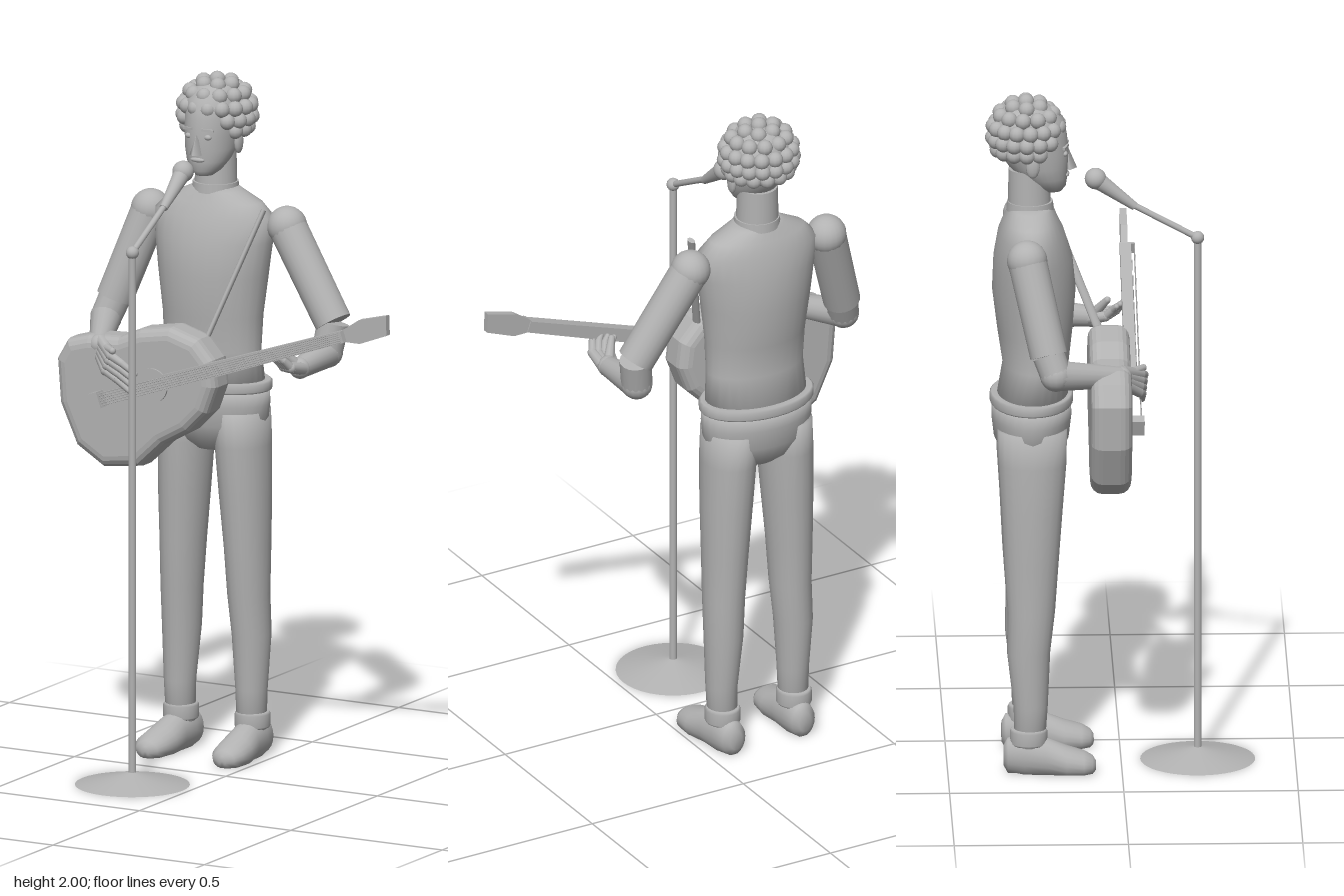
import * as THREE from 'three';

const grey = new THREE.MeshStandardMaterial({ color: 0xb2b2b2 });
grey.name = 'plain grey';
const V = (a) => new THREE.Vector3(...a);
const CX = -0.183; // middle of the figure

function add(parent, name, geo) {
  const m = new THREE.Mesh(geo, grey);
  m.name = name;
  parent.add(m);
  return m;
}

// Closed surface through elliptical rings [x, y, z, rx, rz], listed upwards
function loft(rings, n = 28) {
  const pos = [], idx = [];
  for (const [x, y, z, rx, rz] of rings)
    for (let j = 0; j < n; j++) {
      const a = (j / n) * Math.PI * 2;
      pos.push(x + rx * Math.cos(a), y, z + rz * Math.sin(a));
    }
  const last = rings.length - 1;
  pos.push(...rings[0].slice(0, 3), ...rings[last].slice(0, 3));
  const c0 = (last + 1) * n;
  for (let j = 0; j < n; j++) {
    const k = (j + 1) % n;
    for (let i = 0; i < last; i++) {
      const a = i * n + j, b = i * n + k;
      idx.push(a, a + n, b, b, a + n, b + n);
    }
    idx.push(c0, j, k, c0 + 1, last * n + k, last * n + j);
  }
  const g = new THREE.BufferGeometry();
  g.setAttribute('position', new THREE.Float32BufferAttribute(pos, 3));
  g.setIndex(idx);
  g.computeVertexNormals();
  return g;
}

// Tapered rod between two points
function rod(parent, name, a, b, ra, rb = ra, n = 16) {
  const p = V(a), d = V(b).sub(p);
  const m = add(parent, name, new THREE.CylinderGeometry(rb, ra, d.length(), n));
  m.position.copy(p).addScaledVector(d, 0.5);
  m.quaternion.setFromUnitVectors(new THREE.Vector3(0, 1, 0), d.clone().normalize());
  return m;
}

function ball(parent, name, p, r, n = 16) {
  const m = add(parent, name, new THREE.SphereGeometry(1, n, Math.max(8, n * 0.7 | 0)));
  m.position.set(...p);
  Array.isArray(r) ? m.scale.set(...r) : m.scale.setScalar(r);
  return m;
}

function box(parent, name, p, s) {
  const m = add(parent, name, new THREE.BoxGeometry(...s));
  m.position.set(...p);
  return m;
}

function buildBody(g) {
  add(g, 'torso', loft([
    [CX, 1.07, -0.257, 0.16, 0.105], [CX, 1.2, -0.245, 0.152, 0.095],
    [CX, 1.3, -0.247, 0.155, 0.108], [CX, 1.42, -0.25, 0.17, 0.12],
    [CX, 1.52, -0.253, 0.185, 0.113], [CX, 1.59, -0.258, 0.19, 0.095],
    [CX, 1.63, -0.26, 0.15, 0.078], [CX, 1.66, -0.26, 0.085, 0.064], [CX, 1.67, -0.26, 0.066, 0.06]]));
  add(g, 'hips', loft([
    [CX, 0.9, -0.257, 0.06, 0.05], [CX, 0.93, -0.257, 0.125, 0.085], [CX, 0.98, -0.257, 0.166, 0.108],
    [CX, 1.04, -0.257, 0.172, 0.115], [CX, 1.085, -0.257, 0.17, 0.113]]));
  add(g, 'belt', loft([
    [CX, 1.08, -0.257, 0.174, 0.117], [CX, 1.085, -0.257, 0.178, 0.12],
    [CX, 1.105, -0.257, 0.178, 0.12], [CX, 1.11, -0.257, 0.172, 0.115]]));
  rod(g, 'neck', [CX, 1.65, -0.262], [CX, 1.78, -0.265], 0.062, 0.058, 24);
  rod(g, 'collar', [CX, 1.655, -0.261], [CX, 1.682, -0.261], 0.068, 0.066, 24);

  // Legs and shoes, mirrored about the middle
  for (const s of [-1, 1]) {
    const x = (d) => CX + s * d;
    add(g, 'leg', loft([
      [x(0.117), 0.08, -0.265, 0.042, 0.044], [x(0.118), 0.2, -0.262, 0.046, 0.049],
      [x(0.115), 0.36, -0.268, 0.056, 0.062], [x(0.11), 0.48, -0.26, 0.06, 0.068],
      [x(0.106), 0.62, -0.26, 0.065, 0.078], [x(0.1), 0.78, -0.258, 0.073, 0.088],
      [x(0.094), 0.92, -0.257, 0.077, 0.098], [x(0.09), 1.02, -0.257, 0.076, 0.1]], 20));
    add(g, 'cuff', loft([
      [x(0.118), 0.085, -0.268, 0.048, 0.05], [x(0.118), 0.09, -0.268, 0.051, 0.054],
      [x(0.118), 0.125, -0.268, 0.051, 0.054], [x(0.118), 0.132, -0.268, 0.046, 0.05]], 20));
    // Shoe rings run from heel to toe, then the sole is pressed flat
    const shoe = loft([
      [x(0.114), -0.34, -0.05, 0.02, 0.03], [x(0.115), -0.328, -0.05, 0.038, 0.052],
      [x(0.117), -0.28, -0.05, 0.046, 0.064], [x(0.12), -0.22, -0.045, 0.049, 0.06],
      [x(0.124), -0.16, -0.032, 0.056, 0.048], [x(0.127), -0.11, -0.027, 0.052, 0.038],
      [x(0.127), -0.085, -0.024, 0.036, 0.027], [x(0.127), -0.075, -0.022, 0.012, 0.014]], 20);
    shoe.rotateX(Math.PI / 2);
    const p = shoe.attributes.position;
    for (let i = 0; i < p.count; i++) p.setY(i, Math.max(0, p.getY(i)));
    shoe.computeVertexNormals();
    add(g, 'shoe', shoe);
  }
}

function buildHead(g) {
  add(g, 'head', loft([
    [CX, 1.712, -0.2, 0.025, 0.03], [CX, 1.728, -0.208, 0.045, 0.05], [CX, 1.755, -0.222, 0.062, 0.068],
    [CX, 1.79, -0.238, 0.073, 0.086], [CX, 1.83, -0.25, 0.077, 0.1], [CX, 1.88, -0.26, 0.083, 0.105],
    [CX, 1.93, -0.265, 0.08, 0.1], [CX, 1.965, -0.268, 0.055, 0.065], [CX, 1.975, -0.27, 0.02, 0.02]]));
  for (const s of [-1, 1]) {
    ball(g, 'ear', [CX + s * 0.08, 1.805, -0.255], [0.011, 0.034, 0.02], 12);
    ball(g, 'eye', [CX + s * 0.031, 1.83, -0.161], [0.012, 0.008, 0.008], 12);
    const brow = box(g, 'eyebrow', [CX + s * 0.032, 1.851, -0.159], [0.036, 0.007, 0.008]);
    brow.rotation.set(0, s * 0.35, -s * 0.1);
  }
  const nose = add(g, 'nose', new THREE.ConeGeometry(0.02, 0.07, 4));
  nose.position.set(CX, 1.812, -0.15);
  nose.rotation.x = -0.12;
  ball(g, 'mouth', [CX, 1.762, -0.156], [0.024, 0.007, 0.008], 12);

  // Curls sit in rings over the skull, leaving the face free
  ball(g, 'hairCap', [CX, 1.885, -0.28], [0.097, 0.093, 0.092], 24);
  [[0, 1], [27, 6], [52, 11], [76, 15], [98, 16], [119, 14]].forEach(([deg, n], row) => {
    for (let i = 0; i < n; i++) {
      const t = deg * Math.PI / 180, a = ((i + (row % 2) / 2) / n) * Math.PI * 2;
      const front = Math.sin(t) * Math.cos(a);
      if ((row === 4 && front > 0.75) || (row === 5 && front > 0.4)) continue;
      ball(g, 'curl', [CX + 0.1 * Math.sin(t) * Math.sin(a), 1.885 + 0.092 * Math.cos(t),
        -0.272 + 0.096 * front], 0.0235, 12);
    }
  });
}

// Arm: shoulder, sleeve end, elbow, wrist, knuckles, finger tips, spread of the fingers
function buildArm(parent, name, sh, sl, el, wr, kn, tip, spread, thumb) {
  const g = new THREE.Group();
  g.name = name;
  parent.add(g);
  ball(g, 'shoulder', sh, 0.058, 20);
  rod(g, 'sleeve', sh, sl, 0.056, 0.054, 20);
  rod(g, 'elbowLink', sl, el, 0.047, 0.045);
  ball(g, 'elbow', el, 0.046);
  rod(g, 'forearm', el, wr, 0.045, 0.03);
  ball(g, 'wrist', wr, 0.031);
  const sp = V(spread);
  for (let i = 0; i < 4; i++) {
    const k = V(kn).addScaledVector(sp, i - 1.5), e = V(tip).addScaledVector(sp, (i - 1.5) * 1.1);
    const mid = k.clone().lerp(e, 0.5).add(new THREE.Vector3(0, 0.006, 0.006));
    rod(g, 'palm', V(wr).addScaledVector(sp, (i - 1.5) * 0.6).toArray(), k.toArray(), 0.019, 0.015, 10);
    ball(g, 'knuckle', k.toArray(), 0.015, 10);
    rod(g, 'finger', k.toArray(), mid.toArray(), 0.013, 0.011, 10);
    ball(g, 'fingerJoint', mid.toArray(), 0.011, 10);
    rod(g, 'finger', mid.toArray(), e.toArray(), 0.011, 0.008, 10);
    ball(g, 'fingerTip', e.toArray(), 0.008, 10);
  }
  rod(g, 'thumb', wr, thumb, 0.018, 0.01, 10);
  ball(g, 'thumbTip', thumb, 0.01, 10);
}

function buildGuitar(g) {
  const outline = [[-0.555, 1.17], [-0.52, 1.23], [-0.45, 1.25], [-0.35, 1.255], [-0.28, 1.285],
    [-0.18, 1.302], [-0.09, 1.275], [-0.04, 1.22], [-0.03, 1.14], [-0.06, 1.06], [-0.12, 1.0],
    [-0.2, 0.955], [-0.28, 0.88], [-0.4, 0.865], [-0.49, 0.92], [-0.545, 1.04]];
  const shape = new THREE.Shape(outline.map(([x, y]) => new THREE.Vector2(x, y)));
  const body = new THREE.ExtrudeGeometry(shape, {
    depth: 0.05, bevelThickness: 0.034, bevelSize: 0.035, bevelOffset: -0.035, bevelSegments: 4 });
  add(g, 'guitarBody', body).position.z = -0.06;

  // Neck parts lie along x from the bridge
  const n = new THREE.Group();
  n.name = 'guitarNeck';
  n.position.set(-0.4, 1.07, 0);
  n.rotation.z = 0.333;
  g.add(n);
  const plate = (name, pts, depth, z) => {
    const s = new THREE.Shape(pts.map(([x, y]) => new THREE.Vector2(x, y)));
    add(n, name, new THREE.ExtrudeGeometry(s, { depth, bevelEnabled: false })).position.z = z;
  };
  plate('neck', [[0.23, -0.023], [0.86, -0.017], [0.86, 0.017], [0.23, 0.023]], 0.032, 0.012);
  plate('headstock', [[0.855, -0.017], [0.9, -0.033], [0.995, -0.03], [1.012, 0.026],
    [0.92, 0.034], [0.855, 0.017]], 0.02, 0.015);
  const hole = add(n, 'soundHole', new THREE.CylinderGeometry(0.05, 0.05, 0.008, 28));
  hole.rotation.x = Math.PI / 2;
  hole.position.set(0.182, 0, 0.026);
  box(n, 'bridge', [0, 0, 0.042], [0.03, 0.048, 0.04]);
  box(n, 'nut', [0.857, 0, 0.047], [0.008, 0.034, 0.016]);
  for (let i = 0; i < 12; i++) box(n, 'fret', [0.855 - 0.6 * (1 - 0.9 ** (i + 1)) / 0.72, 0, 0.045], [0.004, 0.036, 0.004]);
  for (let i = 0; i < 6; i++) {
    const y = (i - 2.5) * 0.0055;
    rod(n, 'string', [0, y * 1.3, 0.054], [0.86, y, 0.054], 0.0012, 0.0012, 6);
  }
  const strap = rod(g, 'strap', [0.005, 1.625, -0.21], [-0.1, 1.26, -0.06], 0.013, 0.013, 12);
  strap.scale.z = 0.6;
}

function buildMicrophone(g) {
  const base = add(g, 'standBase', new THREE.CylinderGeometry(0.012, 0.165, 0.036, 40));
  base.position.set(CX, 0.018, 0.22);
  rod(g, 'standPole', [CX, 0.02, 0.22], [CX, 1.565, 0.22], 0.011);
  ball(g, 'standJoint', [CX, 1.565, 0.22], 0.019);
  rod(g, 'boom', [CX, 1.565, 0.22], [CX, 1.665, 0.035], 0.009);
  rod(g, 'microphoneHandle', [CX, 1.66, 0.04], [CX, 1.733, -0.058], 0.012, 0.024, 20);
  ball(g, 'microphoneHead', [CX, 1.745, -0.073], 0.031, 24);
}

export function createModel() {
  const root = new THREE.Group();
  root.name = 'singerWithGuitar';
  const part = (name, build) => {
    const g = new THREE.Group();
    g.name = name;
    build(g);
    root.add(g);
  };
  part('body', buildBody);
  part('headAndHair', buildHead);
  part('arms', (g) => {
    buildArm(g, 'rightArm', [-0.405, 1.57, -0.275], [-0.49, 1.31, -0.215], [-0.507, 1.255, -0.195],
      [-0.42, 1.222, -0.005], [-0.36, 1.185, 0.05], [-0.275, 1.14, 0.062], [0.007, 0.016, 0.002], [-0.34, 1.225, 0.06]);
    buildArm(g, 'leftArm', [0.045, 1.57, -0.275], [0.212, 1.31, -0.25], [0.2, 1.225, -0.235],
      [0.202, 1.21, -0.075], [0.192, 1.222, -0.02], [0.165, 1.26, 0.012], [0.014, 0.002, 0.01], [0.165, 1.27, -0.03]);
  });
  part('guitar', buildGuitar);
  part('microphoneStand', buildMicrophone);
  return root;
}
